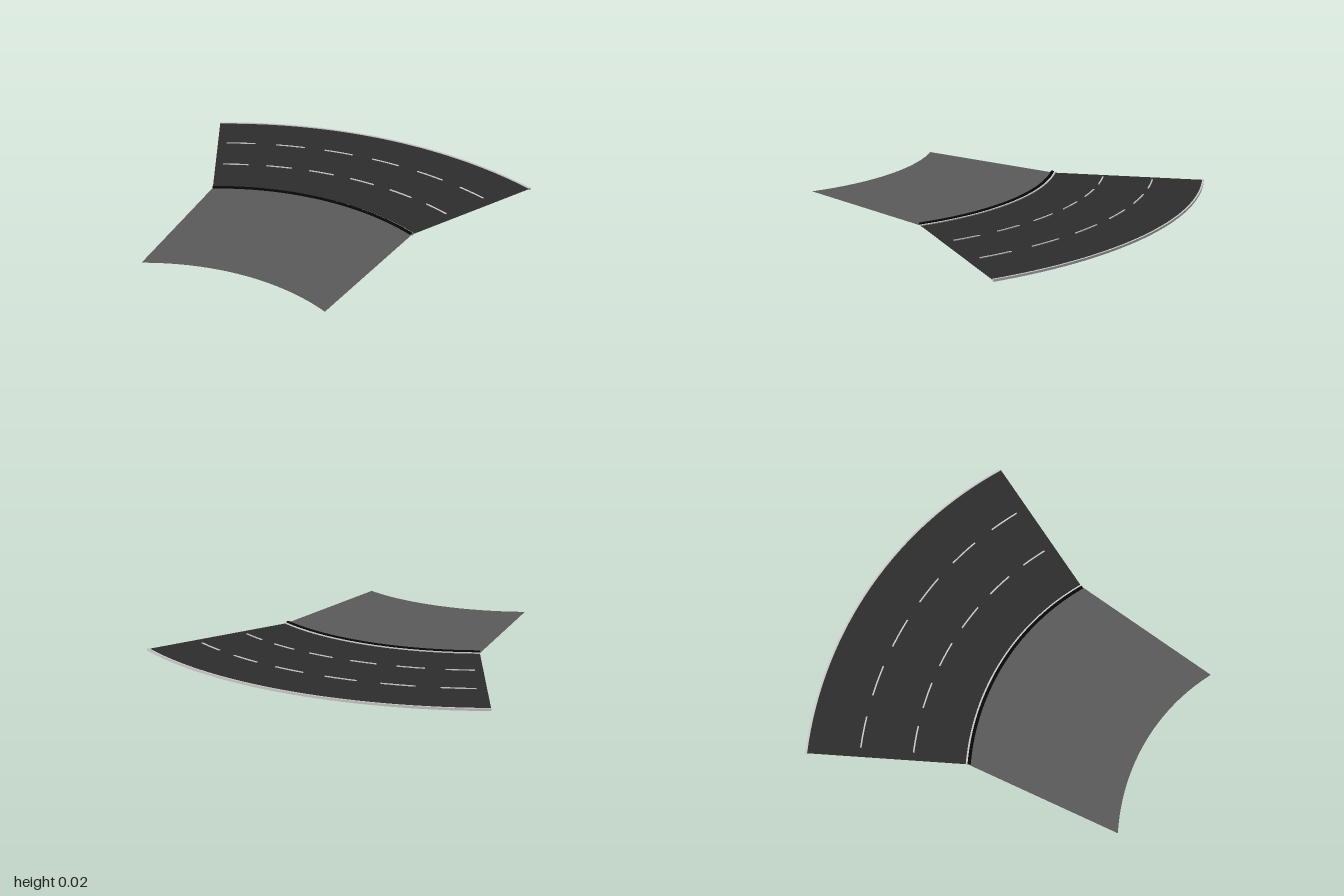
import * as THREE from 'three';

const CENTRE_Z = 1.25;              // centre of the road bend
const HALF = THREE.MathUtils.degToRad(27.1);

// Points along an arc, angle measured from straight back, drawn in plan (shape y = -z)
function arc(r, a0, a1, n, cz = CENTRE_Z) {
  return Array.from({ length: n + 1 }, (_, i) => {
    const a = a0 + (a1 - a0) * i / n;
    return new THREE.Vector2(r * Math.sin(a), r * Math.cos(a) - cz);
  });
}

// Flat plan outline between two edges, laid on the ground, with optional thickness
function slab(name, inner, outer, y, height, material) {
  const shape = new THREE.Shape([...inner, ...outer.reverse()]);
  const geo = height
    ? new THREE.ExtrudeGeometry(shape, { depth: height, bevelEnabled: false })
    : new THREE.ShapeGeometry(shape);
  geo.rotateX(-Math.PI / 2);
  const mesh = new THREE.Mesh(geo, material);
  mesh.position.y = y;
  mesh.name = name;
  return mesh;
}

function band(name, r0, r1, a0, a1, n, y, height, material) {
  return slab(name, arc(r0, a0, a1, n), arc(r1, a0, a1, n), y, height, material);
}

export function createModel() {
  const group = new THREE.Group();
  group.name = 'curvedRoad';
  const mat = (color) => new THREE.MeshStandardMaterial({ color, side: THREE.DoubleSide });
  const asphalt = mat(0x2d2d2d), apron = mat(0x5b5b5b), black = mat(0x080808), paint = mat(0xcccccc);

  // Road surface
  group.add(band('roadSurface', 1.325, 2.19, -HALF, HALF, 32, 0.007, 0, asphalt));

  // Apron inside the bend, narrowing to a smaller arc
  const end = THREE.MathUtils.degToRad(26.2);
  group.add(slab('apron', arc(1.165, -end, end, 32, 1.985), arc(1.325, -HALF, HALF, 32), 0.007, 0, apron));

  // Solid edge lines and the dark kerb strip
  group.add(band('outerEdgeLine', 2.187, 2.197, -HALF, HALF, 32, 0, 0.012, paint));
  group.add(band('innerEdgeLine', 1.326, 1.336, -HALF, HALF, 32, 0, 0.012, paint));
  group.add(band('kerbStrip', 1.309, 1.326, -HALF, HALF, 32, 0.011, 0.007, black));

  // Two rows of lane dashes
  const dashes = new THREE.Group();
  dashes.name = 'laneDashes';
  const step = THREE.MathUtils.degToRad(9.05), length = THREE.MathUtils.degToRad(5.3);
  for (const r of [1.62, 1.905]) {
    for (let i = 0; i < 6; i++) {
      const a = (i - 2.5) * step - 0.005;
      dashes.add(band('laneDash', r - 0.004, r + 0.004, a - length / 2, a + length / 2, 3, 0.003, 0.008, paint));
    }
  }
  group.add(dashes);
  return group;
}
